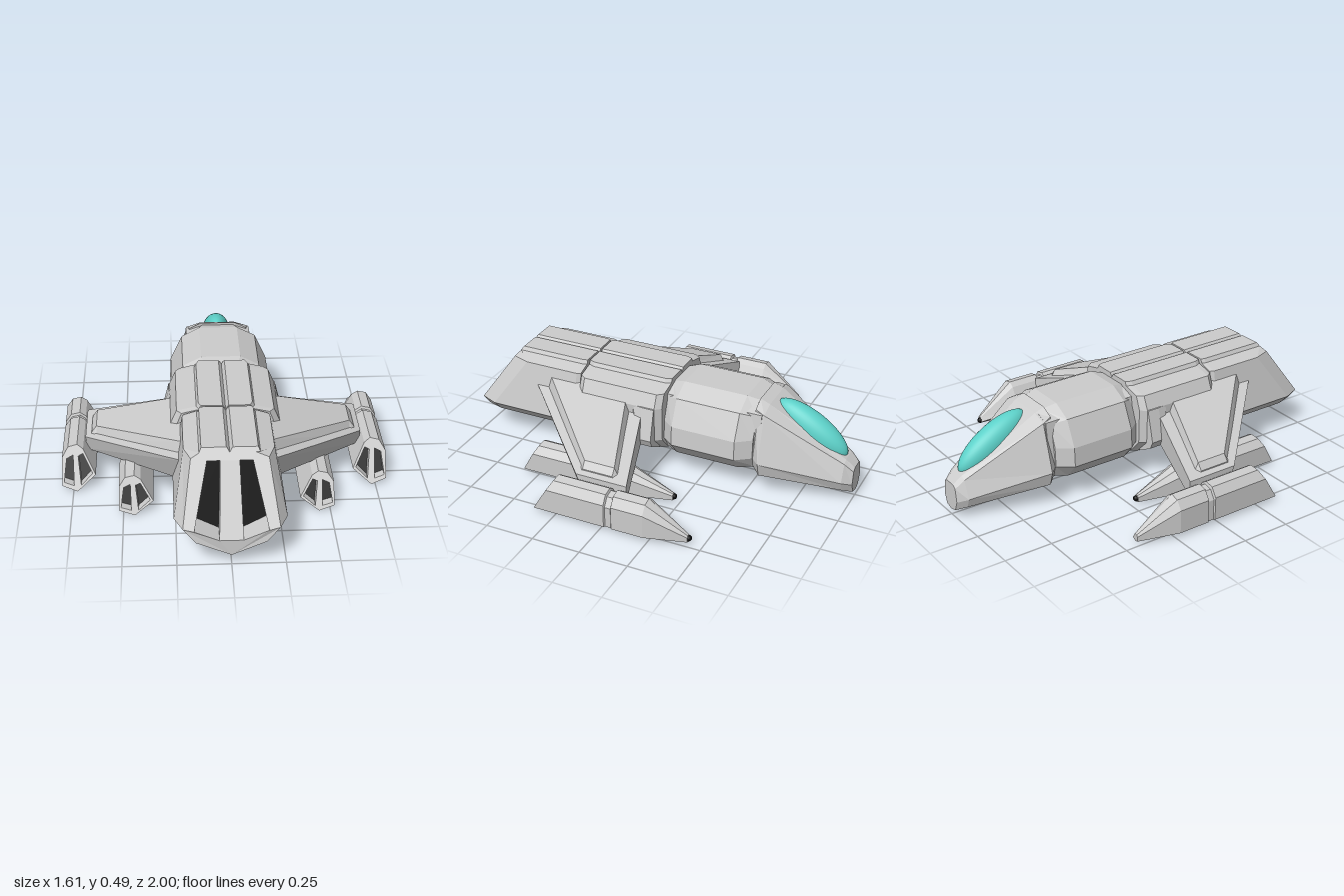
import * as THREE from 'three';

const grey = new THREE.MeshStandardMaterial({ color: 0xcccccc, flatShading: true });
const black = new THREE.MeshStandardMaterial({ color: 0x0c0c0c });
const teal = new THREE.MeshStandardMaterial({ color: 0x5cd0c8 });

// Flat-faced skin through rings of [x, y, z] points
function loft(rings, caps = true) {
  const pos = [];
  const tri = (a, b, c) => pos.push(...a, ...b, ...c);
  const n = rings[0].length;
  for (let k = 0; k + 1 < rings.length; k++) {
    for (let i = 0; i < n; i++) {
      const j = (i + 1) % n, p = rings[k], q = rings[k + 1];
      tri(p[i], p[j], q[j]);
      tri(p[i], q[j], q[i]);
    }
  }
  if (caps) {
    const first = rings[0], last = rings[rings.length - 1];
    for (let i = 1; i + 1 < n; i++) {
      tri(first[0], first[i + 1], first[i]);
      if (caps !== 'start') tri(last[0], last[i], last[i + 1]);
    }
  }
  const g = new THREE.BufferGeometry();
  g.setAttribute('position', new THREE.Float32BufferAttribute(pos, 3));
  g.computeVertexNormals();
  return g;
}

// Reflect a geometry across x = 0, keeping faces outward
function mirrored(geometry) {
  const g = geometry.index ? geometry.toNonIndexed() : geometry.clone();
  const p = g.attributes.position;
  for (let i = 0; i < p.count; i += 3) {
    const t = [0, 1, 2].map(k => [-p.getX(i + k), p.getY(i + k), p.getZ(i + k)]);
    p.setXYZ(i, ...t[0]);
    p.setXYZ(i + 1, ...t[2]);
    p.setXYZ(i + 2, ...t[1]);
  }
  g.computeVertexNormals();
  return g;
}

// Whole ring from a half profile running bottom centre to top centre
const fullRing = half => [...half, ...half.slice(1, -1).reverse().map(([x, y]) => [-x, y])];
const at = (ring, z, sx = 1) =>
  ring.map(([x, y]) => [x * sx, y, typeof z === 'function' ? z(y) : z]);

// Flat shape pushed to z(y)
function panel(points, holes, zOf) {
  const shape = new THREE.Shape(points.map(p => new THREE.Vector2(p[0], p[1])));
  shape.holes = holes.map(h => new THREE.Path(h.map(p => new THREE.Vector2(p[0], p[1]))));
  const g = new THREE.ShapeGeometry(shape).toNonIndexed();
  const p = g.attributes.position;
  for (let i = 0; i < p.count; i++) p.setZ(i, zOf(p.getY(i)));
  g.computeVertexNormals();
  return g;
}

// Exhaust face: frame, recess walls and dark panels
function exhaust(name, ring, holes, zOf, backZ) {
  const parts = [[name + 'Frame', panel(ring, holes, zOf), grey]];
  for (const h of holes) {
    parts.push([name + 'Wall', loft([at(h, zOf), at(h, backZ)], false), grey]);
    parts.push([name + 'Opening', panel(h, [], backZ), black]);
  }
  return parts;
}

export function createModel() {
  const model = new THREE.Group();
  const add = (name, geometry, material = grey, parent = model) => {
    const mesh = new THREE.Mesh(geometry, material);
    mesh.name = name;
    parent.add(mesh);
    return mesh;
  };

  // Inner core seen in the grooves between hull sections
  const core = fullRing([[0, .07], [.17, .13], [.2, .2], [.17, .43], [.1, .455], [0, .455]]);
  add('hullCore', loft([at(core, -.56), at(core, .7)]));

  // Nose
  const noseBack = fullRing([[0, .02], [.215, .12], [.235, .19], [.165, .43], [.09, .455], [0, .455]]);
  const noseRim = fullRing([[0, .09], [.17, .14], [.19, .2], [.15, .445], [.09, .475], [0, .475]]);
  const noseFront = fullRing([[0, .03], [.08, .06], [.1, .11], [.065, .2], [.04, .215], [0, .215]]);
  const noseTip = fullRing([[0, .03], [.04, .04], [.06, .09], [.05, .16], [.03, .175], [0, .175]]);
  add('nose', loft([at(noseTip, -1), at(noseFront, -.955), at(noseBack, -.57), at(noseRim, -.52)]));

  // Canopy bubble
  const canopy = add('canopy', new THREE.SphereGeometry(1, 40, 24), teal);
  canopy.scale.set(.072, .085, .215);
  canopy.position.set(0, .32, -.76);
  canopy.rotation.x = -.54;

  // Forward hull
  const fore = fullRing([[0, .06], [.19, .12], [.26, .2], [.255, .3], [.195, .43], [.1, .48], [0, .48]]);
  const foreEnd = fullRing([[0, .08], [.16, .13], [.205, .2], [.2, .3], [.16, .41], [.08, .46], [0, .46]]);
  add('forwardHull', loft([at(foreEnd, -.53), at(fore, -.455), at(fore, -.12), at(foreEnd, -.05)]));

  // Middle hull with two raised roof plates
  const roof = [[.14, .47], [.13, .49], [.015, .49], [0, .47]];
  const mid = fullRing([[0, .05], [.18, .12], [.26, .2], [.265, .38], [.235, .45], ...roof]);
  add('middleHull', loft([at(mid, -.06, .9), at(mid, -.03), at(mid, .37), at(mid, .4, .9)]));

  // Rear hull with sloping exhaust face
  const slope = y => (y <= .18 ? 1 : 1 - (y - .18) * .71);
  const rear = fullRing([[0, .05], [.19, .12], [.26, .19], [.21, .45], ...roof]);
  const rearRim = at(rear, slope, .85);
  add('rearHull', loft([at(rear, .41, .95), at(rear, .43), at(rear, y => slope(y) - .09 * (y < .46)), rearRim], 'start'));
  const mainHole = [[.055, .13], [.17, .18], [.105, .44], [.045, .44]];
  const otherHole = mainHole.map(([x, y]) => [-x, y]).reverse();
  exhaust('mainExhaust', rearRim, [mainHole, otherHole], slope, y => .94 - y * .35)
    .forEach(([n, g, m]) => add(n, g, m));

  // Side parts, built on the +x side and reflected
  const sides = [];

  // Wing slab: leading top, trailing top, trailing bottom, leading bottom
  const wingRing = (x, top, bottom, z0, z1, rake) =>
    [[x, top, z0], [x, top, z1], [x, bottom, z1 - rake], [x, bottom, z0]];
  sides.push(['wing', loft([
    wingRing(.2, .355, .2, .06, .68, .08),
    wingRing(.69, .2, .115, -.09, .18, .03)])]);

  // Raised wing panel with bevelled rim
  const raisedRing = (x, top, base, z0, z1) =>
    [[x, top, z0], [x, top, z1], [x, base, z1 + .035], [x, base, z0 - .03]];
  sides.push(['wingPanel', loft([
    raisedRing(.2, .405, .33, .15, .59),
    raisedRing(.635, .25, .19, 0, .16),
    raisedRing(.66, .215, .17, 0, .16)])]);

  // Collar in front of the wing root
  const collar = [[.2, .13], [.29, .18], [.31, .22], [.27, .38], [.2, .4]];
  sides.push(['wingCollar', loft([at(collar, -.03), at(collar, .035),
    collar.map(([x, y]) => [Math.min(x, .26), y, .09])])]);

  // Engine pods
  const podShape = [[.01, 0], [.085, .025], [.085, .145], [.055, .19], [.01, .2], [-.02, .18], [-.08, .07]];
  const podHoles = [
    [[-.065, .075], [-.008, .025], [.005, .15], [-.018, .16]],
    [[.027, .025], [.076, .04], [.062, .14], [.03, .155]]];
  const makePod = (name, cx, sy, noseZ, fullZ, tailZ, rake, groove) => {
    const place = pts => pts.map(([x, y]) => [cx + x, y * sy]);
    const ring = place(podShape);
    const tail = y => tailZ - y * rake;
    const tip = podShape.map(([x, y]) => [cx + x * .22, .012 + y * .2]);
    const rings = [at(tip, noseZ), at(ring, fullZ)];
    if (groove !== null) {
      const thin = place(podShape.map(([x, y]) => [x * .92, y > .1 ? y - .012 : y]));
      rings.push(at(ring, groove - .02), at(thin, groove - .015), at(thin, groove + .015), at(ring, groove + .02));
    }
    rings.push(at(ring, tail));
    sides.push([name, loft(rings, 'start')]);
    exhaust(name + 'Exhaust', ring, podHoles.map(place), tail, y => tail(y) - .045)
      .forEach(p => sides.push(p));
  };
  makePod('outerPod', .72, 1, -.43, -.23, .37, .6, -.045);
  makePod('innerPod', .435, .84, -.22, .03, .59, .55, null);

  for (const [name, geometry, material] of sides) {
    add(name + 'Left', geometry, material);
    add(name + 'Right', mirrored(geometry), material);
  }

  // Pylon joining each wing to its inner pod
  for (const s of [1, -1]) {
    add('podPylon', new THREE.BoxGeometry(.06, .1, .2), grey).position.set(s * .44, .17, .25);
  }

  // Dark muzzle tips
  for (const [x, z] of [[.72, -.43], [.435, -.22], [-.435, -.22]]) {
    add('muzzleTip', new THREE.SphereGeometry(.015, 16, 10), black).position.set(x, .03, z);
  }
  return model;
}
